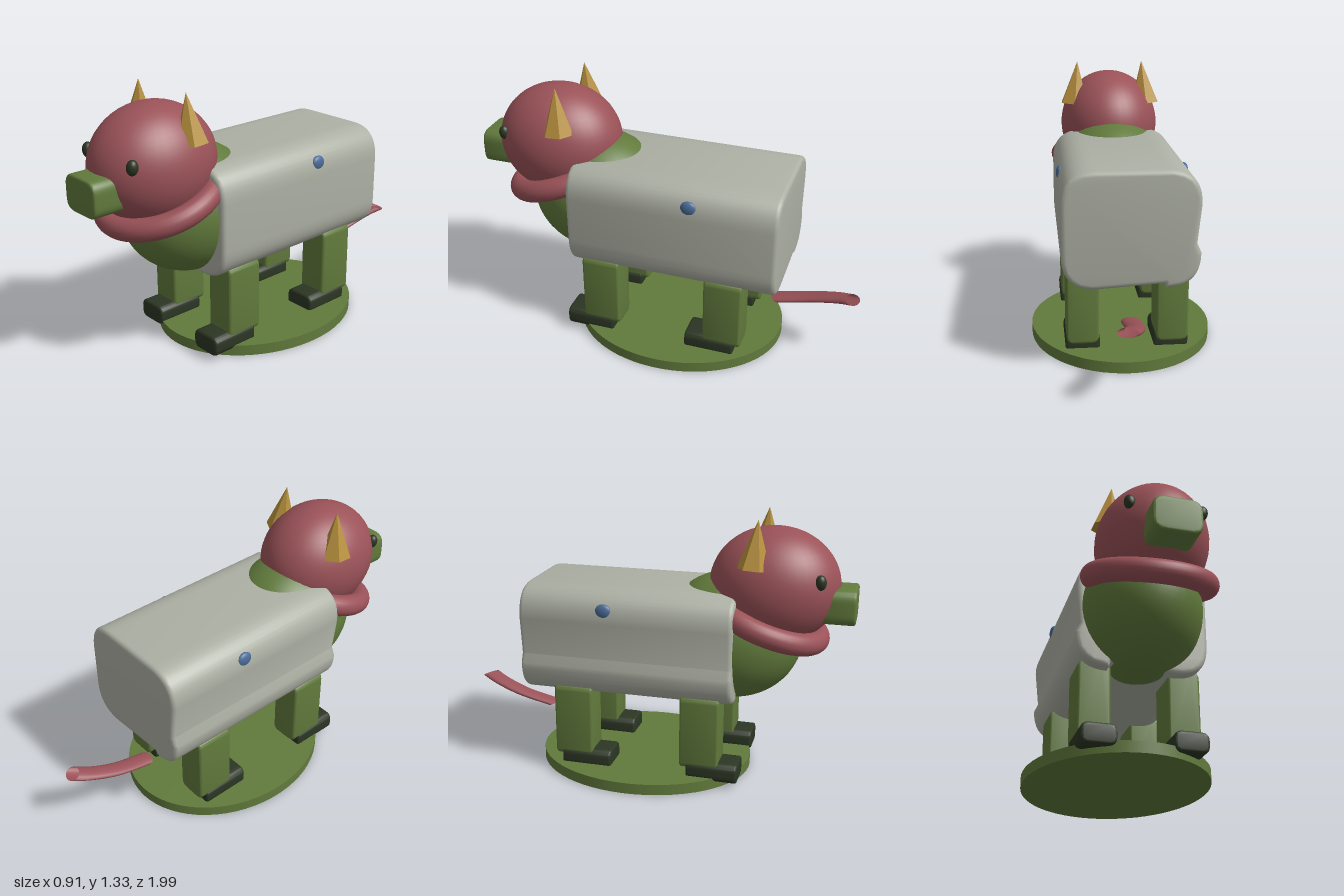
import * as THREE from 'three';
import { toCreasedNormals } from 'three/addons/utils/BufferGeometryUtils.js';

const mat = (name, color, extra = {}) => {
  const m = new THREE.MeshStandardMaterial({ color, ...extra });
  m.name = name;
  return m;
};

export function createModel() {
  const root = new THREE.Group();
  root.name = 'hornedAnimal';

  const red = mat('dullRed', 0x9a5258);
  const redOpen = red.clone();
  redOpen.side = THREE.DoubleSide;
  const green = mat('mossGreen', 0x617a3c);
  const dark = mat('darkGreen', 0x2c3624);
  const grey = mat('paleGrey', 0xadb0a4);
  const gold = mat('hornGold', 0xb8913e, { flatShading: true });
  const blue = mat('slateBlue', 0x4c6c98);

  const add = (name, geo, material, x = 0, y = 0, z = 0) => {
    const mesh = new THREE.Mesh(geo, material);
    mesh.name = name;
    mesh.position.set(x, y, z);
    root.add(mesh);
    return mesh;
  };
  const ball = (name, material, pos, radii) => {
    const mesh = add(name, new THREE.SphereGeometry(1, 40, 28), material, ...pos);
    mesh.scale.set(...radii);
    return mesh;
  };

  // Rounded outline extruded along z with a small bevel; a bite cuts grooves beside the lower right corner
  const slab = (w, h, d, r, bevel, bite = 0) => {
    const x = w / 2, y = h / 2, s = new THREE.Shape();
    s.moveTo(-x + r, -y);
    if (bite) s.lineTo(-x + r + 0.008, -y + bite);
    s.lineTo(x - r, -y);
    s.quadraticCurveTo(x, -y, x, -y + r);
    s.lineTo(x, y - r);
    s.quadraticCurveTo(x, y, x - r, y);
    s.lineTo(-x + r, y);
    s.quadraticCurveTo(-x, y, -x, y - r);
    if (bite) s.lineTo(-x + bite, -y + r + 0.045);
    s.lineTo(-x, -y + r);
    s.quadraticCurveTo(-x, -y, -x + r, -y);
    const geo = new THREE.ExtrudeGeometry(s, {
      depth: d - 2 * bevel, curveSegments: 10,
      bevelThickness: bevel, bevelSize: bevel, bevelOffset: -bevel, bevelSegments: 3,
    });
    geo.translate(0, 0, -d / 2 + bevel);
    return toCreasedNormals(geo, 0.55);
  };

  // Oval stand
  const stand = add('stand', new THREE.CylinderGeometry(1, 1, 0.055, 64), green, 0, 0.0275, -0.045);
  stand.scale.set(0.455, 1, 0.55);

  // Torso and chest
  add('body', slab(0.64, 0.55, 1.065, 0.16, 0.022, 0.02), grey, 0, 0.695, -0.0775);
  ball('chest', green, [0, 0.72, 0.4], [0.295, 0.32, 0.35]);

  // Head, snout and tilted collar
  ball('head', red, [0, 0.985, 0.602], [0.265, 0.286, 0.318]);
  add('snout', slab(0.23, 0.175, 0.25, 0.06, 0.012), green, 0, 0.9125, 0.875);
  const collar = add('collar', new THREE.TorusGeometry(0.27, 0.055, 20, 64), red, 0, 0.817, 0.57);
  collar.rotation.x = Math.PI / 2 + 0.35;

  // Mirrored parts
  for (const side of [1, -1]) {
    const label = side > 0 ? 'left' : 'right';
    const eye = ball(label + 'Eye', dark, [side * 0.17, 1.05, 0.835], [0.027, 0.037, 0.027]);
    eye.rotation.z = -side * 0.15;

    const horn = add(label + 'Horn', new THREE.ConeGeometry(0.08, 0.23, 6), gold, side * 0.185, 1.215, 0.532);
    horn.rotation.set(0.06, 0, side * 0.08);

    ball(label + 'Spot', blue, [side * 0.304, 0.872, -0.175], [0.019, 0.037, 0.041]);

    for (const [end, z] of [['Front', 0.2975], ['Rear', -0.3475]]) {
      add(label + end + 'Leg', slab(0.156, 0.38, 0.195, 0.04, 0.012), green, side * 0.215, 0.28, z);
      add(label + end + 'Foot', slab(0.167, 0.1, 0.255, 0.04, 0.012), dark, side * 0.214, 0.08, z + 0.065);
    }
  }

  // Flattened curling tail
  const flat = 0.31;
  const path = new THREE.CatmullRomCurve3(
    [[0, 0.2475, -0.565], [0, 0.29, -0.74], [0.025, 0.333, -0.88], [0.055, 0.358, -0.955]]
      .map(([x, y, z]) => new THREE.Vector3(x, y / flat, z)));
  const tail = add('tail', new THREE.TubeGeometry(path, 24, 0.046, 16), redOpen);
  tail.scale.y = flat;

  return root;
}
